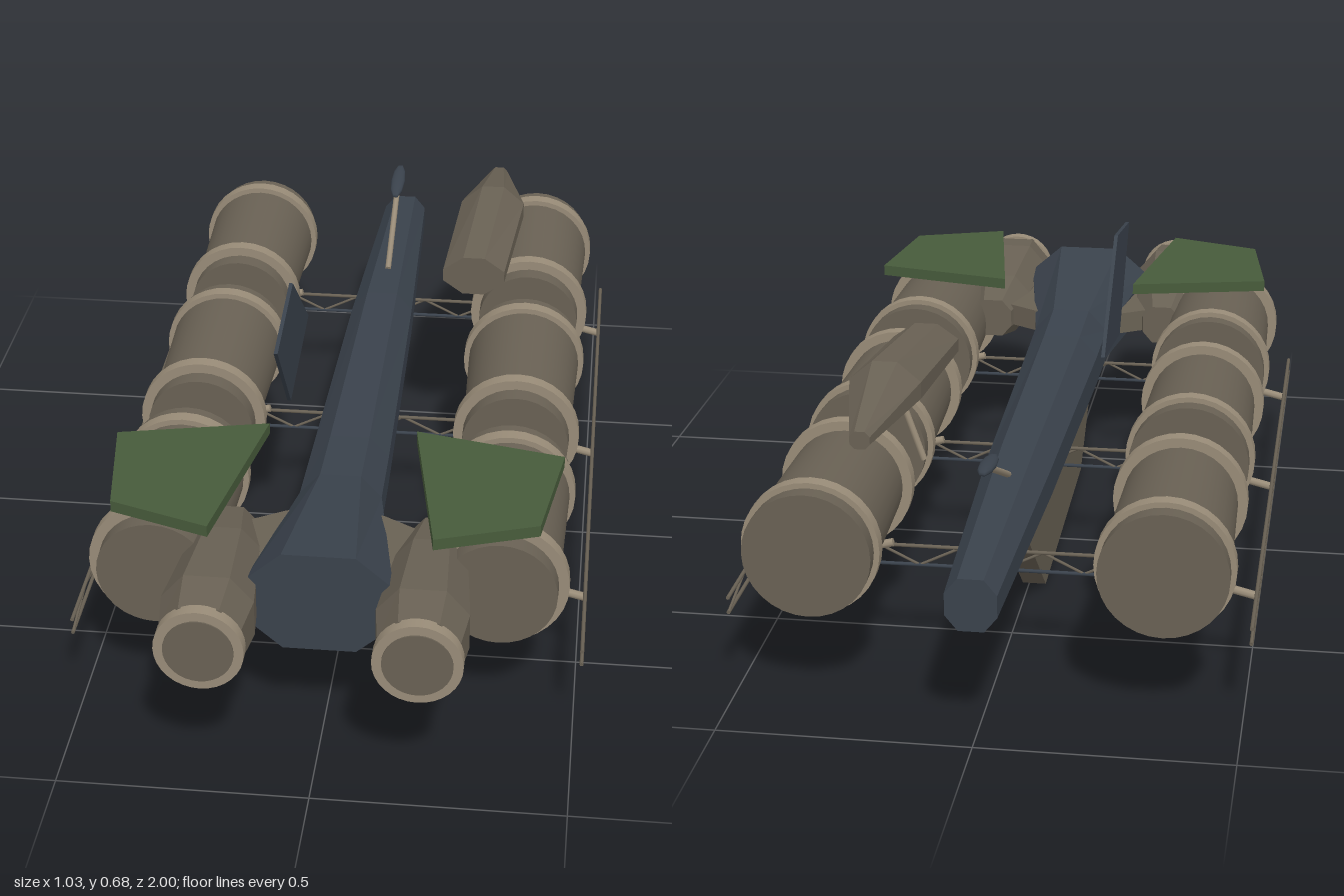
import * as THREE from 'three';

const mat = (name, color) => {
  const m = new THREE.MeshStandardMaterial({ color });
  m.name = name;
  return m;
};

export function createModel() {
  const root = new THREE.Group();
  root.name = 'cargoShip';
  const slate = mat('slate hull', 0x3a424c);
  const brown = mat('brown plating', 0x696154);
  const tan = mat('tan trim', 0x998c78);
  const green = mat('green panel', 0x475b3b);

  const add = (name, geometry, material, parent = root) => {
    const mesh = new THREE.Mesh(geometry, material);
    mesh.name = name;
    parent.add(mesh);
    return mesh;
  };

  // Chamfered octagon cross-section, counter-clockwise seen from the front
  const oct = (z, cx, cy, hw, hh, fx = 0.5, fy = 0.42) =>
    [[1, -fy], [1, fy], [fx, 1], [-fx, 1], [-1, fy], [-1, -fy], [-fx, -1], [fx, -1]]
      .map(([x, y]) => new THREE.Vector3(cx + x * hw, cy + y * hh, z));

  // Faceted skin through rings ordered from back to front, with closed ends
  const loft = (rings) => {
    const pts = [];
    const n = rings[0].length;
    for (let i = 0; i < rings.length - 1; i++) {
      for (let j = 0; j < n; j++) {
        const k = (j + 1) % n, r = rings[i], s = rings[i + 1];
        pts.push(r[j], r[k], s[k], r[j], s[k], s[j]);
      }
    }
    const back = rings[0], front = rings[rings.length - 1];
    for (let j = 1; j < n - 1; j++) {
      pts.push(front[0], front[j], front[j + 1], back[0], back[j + 1], back[j]);
    }
    const g = new THREE.BufferGeometry().setFromPoints(pts);
    g.computeVertexNormals();
    return g;
  };

  // Cylinder lying along z
  const drum = (rFront, rBack, length, sides = 32) =>
    new THREE.CylinderGeometry(rFront, rBack, length, sides).rotateX(Math.PI / 2);

  // Round bar between two points
  const bar = (name, a, b, r, material, parent) => {
    const p = new THREE.Vector3(...a), q = new THREE.Vector3(...b);
    const d = q.clone().sub(p);
    const mesh = add(name, new THREE.CylinderGeometry(r, r, d.length(), 8), material, parent);
    mesh.position.copy(p).add(q).multiplyScalar(0.5);
    mesh.quaternion.setFromUnitVectors(new THREE.Vector3(0, 1, 0), d.normalize());
  };

  const plate = (points, depth) => new THREE.ExtrudeGeometry(
    new THREE.Shape(points.map(([x, y]) => new THREE.Vector2(x, y))),
    { depth, bevelEnabled: false });
  // Upright plate from (z, y) points, centred on x
  const uprightPlate = (points, x, t) => plate(points, t).rotateY(-Math.PI / 2).translate(x + t / 2, 0, 0);

  // Long hull, flared at the front
  add('hull', loft([
    oct(-1, 0, 0.298, 0.05, 0.053),
    oct(-0.4, 0, 0.308, 0.07, 0.073),
    oct(0.28, 0, 0.313, 0.083, 0.078),
    oct(0.45, 0, 0.318, 0.085, 0.082),
    oct(0.82, 0, 0.336, 0.145, 0.109),
  ]), slate);

  // Keel and upright fin
  add('keel', uprightPlate(
    [[0.64, 0.24], [0.366, 0.027], [-0.249, 0.003], [-0.535, 0.24]], -0.011, 0.05), brown);
  add('uprightFin', uprightPlate(
    [[0.388, 0.642], [0.147, 0.68], [-0.094, 0.476], [0.206, 0.428]], -0.139, 0.008), slate);

  for (const s of [1, -1]) {
    const side = s > 0 ? 'left' : 'right';

    // Row of three cargo drums with raised bands
    for (const z of [-0.642, -0.07, 0.502]) {
      const g = new THREE.Group();
      g.name = side + 'CargoDrum';
      g.position.set(s * 0.344, 0.315, z);
      root.add(g);
      add('drumBody', drum(0.115, 0.127, 0.44), brown, g);
      for (const dz of [-0.167, 0.167]) {
        add('drumBand', drum(0.137, 0.137, 0.03), tan, g).position.z = dz;
      }
    }

    // Engine with round nozzle and pylon
    const ex = s * 0.207, ey = 0.335;
    add(side + 'Engine', loft([
      oct(0.56, ex, ey, 0.045, 0.045),
      oct(0.68, ex, ey, 0.072, 0.072),
      oct(0.88, ex, ey, 0.09, 0.09),
      oct(0.975, ex, ey, 0.078, 0.08),
    ]), brown);
    add(side + 'NozzleRing', drum(0.087, 0.087, 0.027), tan).position.set(ex, ey, 0.9835);
    add(side + 'NozzleFace', drum(0.068, 0.068, 0.006), brown).position.set(ex, ey, 0.997);
    const pylon = plate([[0.06, -0.53], [0.1, -0.54], [0.2, -0.6], [0.2, -0.78], [0.06, -0.78]]
      .map(([x, y]) => [x * s, y]), 0.05).rotateX(-Math.PI / 2).translate(0, 0.315, 0);
    add(side + 'Pylon', pylon, brown);

    // Green panel
    const panel = plate([[0.457, -0.47], [0.152, -0.402], [0.218, -0.8], [0.42, -0.73]]
      .map(([x, y]) => [x * s, y]), 0.024).rotateX(-Math.PI / 2).translate(0, 0.462, 0);
    add(side + 'Panel', panel, green);

    // Outer truss: two rails with zigzag bracing
    const truss = new THREE.Group();
    truss.name = side + 'Truss';
    root.add(truss);
    const x = s * 0.512, z0 = -0.825, z1 = 0.735, n = 12;
    for (const y of [0.2, 0.169]) bar('rail', [x, y, z0], [x, y, z1], 0.004, brown, truss);
    for (let i = 0; i < n; i++) {
      const za = z0 + (z1 - z0) * i / n, zb = z0 + (z1 - z0) * (i + 1) / n;
      bar('brace', [x, i % 2 ? 0.2 : 0.169, za], [x, i % 2 ? 0.169 : 0.2, zb], 0.003, brown, truss);
    }
    for (const z of [-0.63, -0.057, 0.515]) {
      bar('outrigger', [x, 0.18, z], [s * 0.22, 0.252, z], 0.009, tan, truss);
    }
  }

  // Cross trusses under the hull
  for (const z of [-0.63, -0.057, 0.515]) {
    const g = new THREE.Group();
    g.name = 'crossTruss';
    root.add(g);
    bar('upperChord', [-0.25, 0.247, z], [0.25, 0.247, z], 0.004, brown, g);
    bar('lowerChord', [-0.25, 0.206, z], [0.25, 0.206, z], 0.004, slate, g);
    for (let i = 0; i < 6; i++) {
      const xa = -0.25 + i / 12, xb = xa + 1 / 12;
      bar('brace', [xa, i % 2 ? 0.206 : 0.247, z], [xb, i % 2 ? 0.247 : 0.206, z], 0.003, brown, g);
    }
  }

  // Faceted side pod on a slanted strut
  add('sidePod', loft([
    oct(-0.78, 0.25, 0.527, 0.02, 0.018),
    oct(-0.54, 0.248, 0.546, 0.073, 0.058, 0.35, 0.3),
    oct(-0.215, 0.225, 0.532, 0.069, 0.045, 0.35, 0.3),
  ]), brown);
  bar('podStrut', [0.23, 0.5, -0.47], [0.185, 0.37, -0.47], 0.007, tan);

  // Sensor mast at the back of the hull
  bar('sensorMast', [0, 0.375, -0.54], [0, 0.49, -0.79], 0.007, tan);
  const head = add('sensorHead', new THREE.SphereGeometry(0.017, 10, 8), slate);
  head.scale.set(1, 0.6, 4.6);
  head.rotation.x = 0.12;
  head.position.set(0, 0.493, -0.785);

  return root;
}
